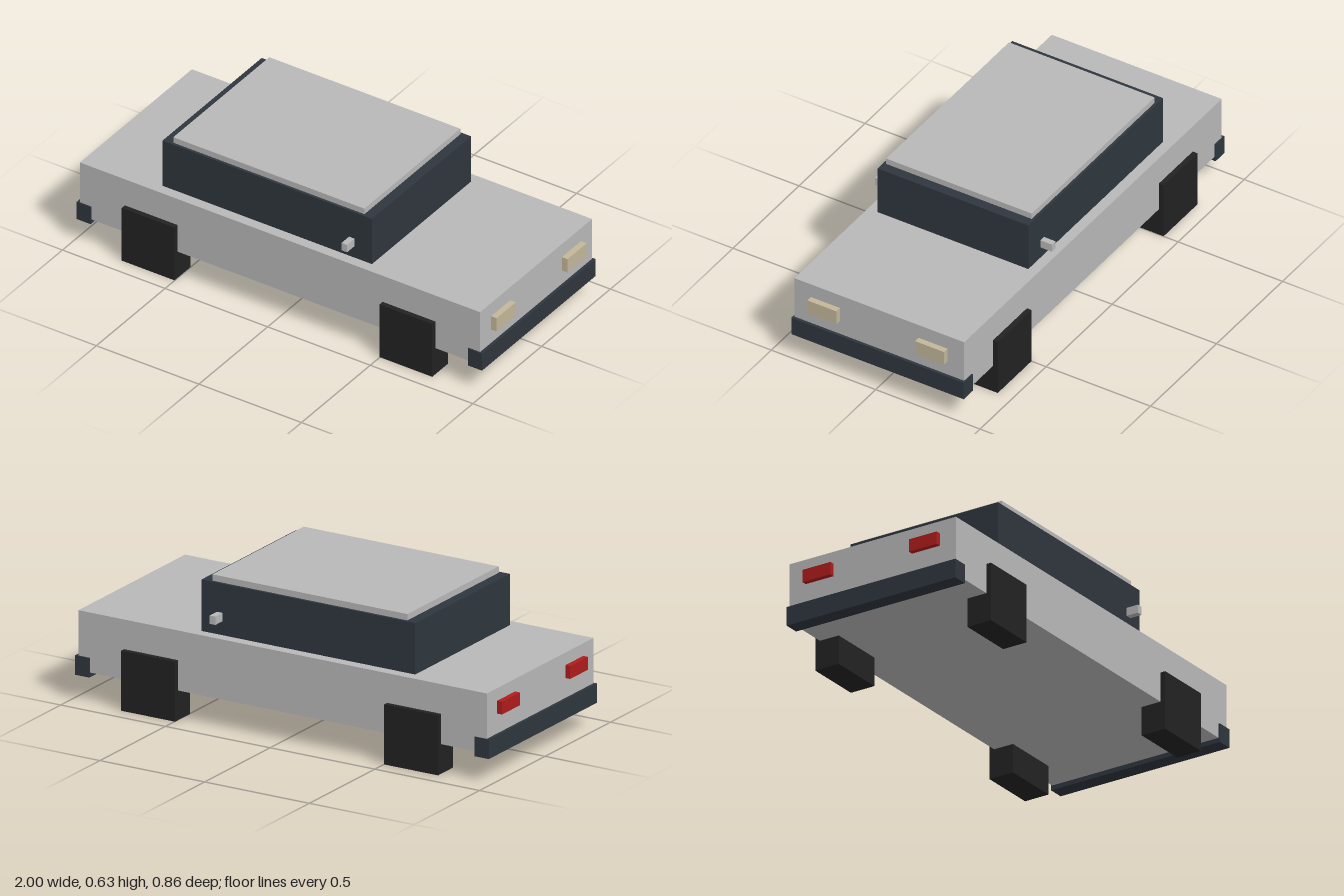
import * as THREE from 'three';

const material = (name, color) => {
  const m = new THREE.MeshStandardMaterial({ color });
  m.name = name;
  return m;
};

export function createModel() {
  const silver = material('silver paint', 0xb8b8b8);
  const slate = material('dark slate', 0x2e363d);
  const rubber = material('black rubber', 0x222222);
  const cream = material('cream lamp', 0xc2b799);
  const red = material('red lamp', 0xb01c1c);

  const car = new THREE.Group();
  car.name = 'car';

  // Box given by its lower and upper limits on each axis
  const box = (name, mat, [x0, x1], [y0, y1], [z0, z1]) => {
    const mesh = new THREE.Mesh(new THREE.BoxGeometry(x1 - x0, y1 - y0, z1 - z0), mat);
    mesh.position.set((x0 + x1) / 2, (y0 + y1) / 2, (z0 + z1) / 2);
    mesh.name = name;
    car.add(mesh);
  };
  // The same box on both sides of the car
  const pair = (name, mat, x, y, [z0, z1]) => {
    box(name + 'Right', mat, x, y, [z0, z1]);
    box(name + 'Left', mat, x, y, [-z1, -z0]);
  };

  // Body, glasshouse and roof (the nose points along +x)
  box('body', silver, [-0.977, 0.973], [0.127, 0.384], [-0.407, 0.407]);
  box('cabin', slate, [-0.606, 0.415], [0.384, 0.604], [-0.361, 0.361]);
  box('roof', silver, [-0.561, 0.37], [0.604, 0.631], [-0.349, 0.349]);

  // Bumpers
  box('frontBumper', slate, [0.917, 0.986], [0.107, 0.19], [-0.413, 0.413]);
  box('rearBumper', slate, [-0.99, -0.921], [0.107, 0.19], [-0.413, 0.413]);

  // Wheels
  pair('frontWheel', rubber, [0.498, 0.755], [0, 0.257], [0.315, 0.43]);
  pair('rearWheel', rubber, [-0.758, -0.501], [0, 0.257], [0.315, 0.43]);

  // Lamps
  pair('headlight', cream, [0.965, 1], [0.255, 0.32], [0.188, 0.327]);
  pair('tailLight', red, [-1, -0.965], [0.275, 0.33], [0.192, 0.328]);

  // Door mirrors
  pair('mirror', silver, [0.309, 0.336], [0.447, 0.483], [0.369, 0.424]);

  return car;
}
